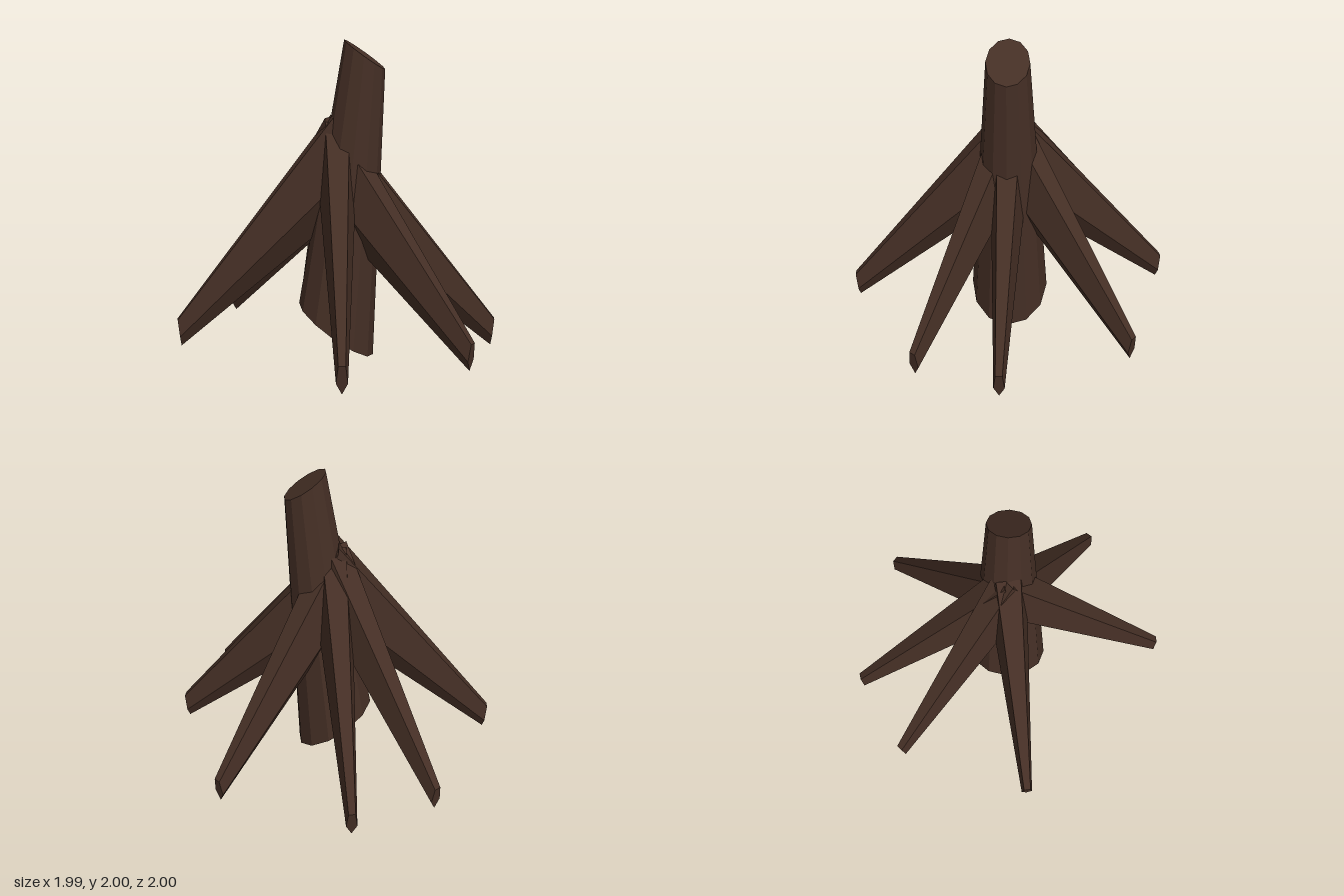
import * as THREE from 'three';

const V = (x, y, z) => new THREE.Vector3(x, y, z);

// A cylinder (local y from 0 to 1) skewed onto three axes
function skewedCylinder(topRadius, sides, origin, xAxis, yAxis, zAxis) {
  const geometry = new THREE.CylinderGeometry(topRadius, 1, 1, sides);
  geometry.rotateY(sides === 5 ? Math.PI : 0).translate(0, 0.5, 0); // five-sided: flat top, ridge below
  geometry.applyMatrix4(new THREE.Matrix4().makeBasis(xAxis, yAxis, zAxis).setPosition(origin));
  return geometry;
}

export function createModel() {
  const model = new THREE.Group();
  model.name = 'treeStump';
  const bark = new THREE.MeshStandardMaterial({ color: 0x452f25, flatShading: true });
  bark.name = 'darkBark';

  // Leaning trunk, both ends cut on a slant
  const trunk = new THREE.Mesh(
    skewedCylinder(0.535, 12, V(-0.007, 0.167, -0.01),
      V(0.235, -0.167, 0), V(0.175, 1.745, 0), V(0, 0, 0.243)), bark);
  trunk.name = 'trunk';
  model.add(trunk);

  // Tapered roots spreading from inside the trunk: tip x, z
  const tips = [
    [0.985, -0.015], [0.825, 0.52], [0.075, 0.985], [-0.985, 0.153],
    [-0.74, -0.69], [-0.262, -0.985], [0.592, -0.81],
  ];
  const start = V(0, 1.23, -0.01);
  const roots = new THREE.Group();
  roots.name = 'roots';
  tips.forEach(([x, z], i) => {
    const tip = V(x, 0.178 - 0.008 * x, z);
    const outward = V(x - start.x, 0, z - start.z).normalize();
    const side = outward.clone().cross(V(0, 1, 0)).multiplyScalar(0.126);
    const up = outward.clone().multiplyScalar(0.12).add(V(0, 1, 0)).multiplyScalar(0.335);
    const origin = start.clone().add(V(0, -0.03 * outward.x, 0));
    const root = new THREE.Mesh(
      skewedCylinder(0.285, 5, origin, side, tip.sub(origin), up), bark);
    root.name = `root${i + 1}`;
    roots.add(root);
  });
  model.add(roots);
  return model;
}
